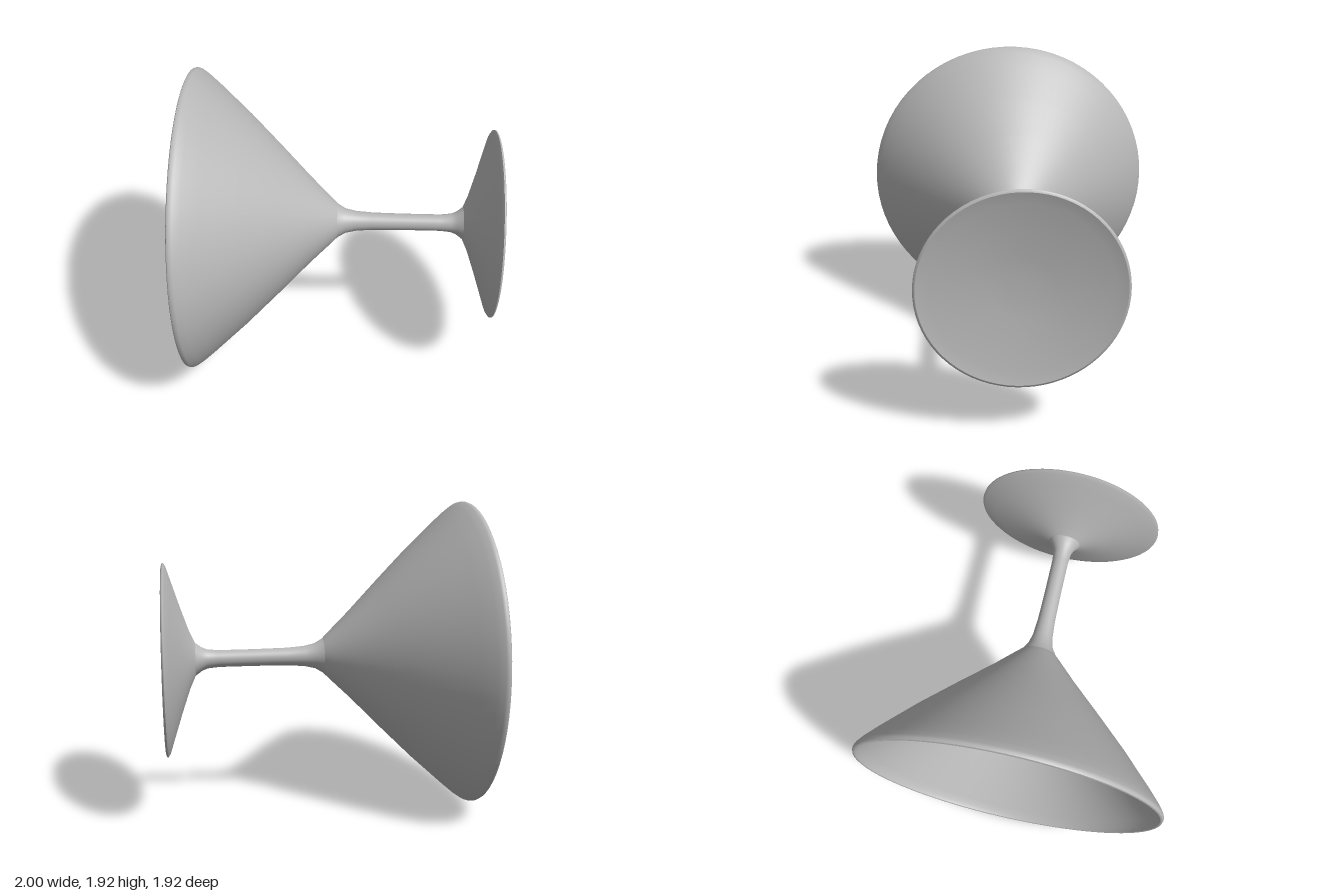
import * as THREE from 'three';

export function createModel() {
  const model = new THREE.Group();
  model.name = 'cocktailGlass';
  const glass = new THREE.MeshStandardMaterial({ color: 0xb8b8b8 });
  glass.name = 'grey glass';

  // Turned parts: [radius, distance along the stem axis]
  const parts = {
    bowlInside: [[0, -0.07], [0.03, -0.08], [0.08, -0.115], [0.15, -0.18], [0.38, -0.4],
      [0.58, -0.59], [0.78, -0.78], [0.895, -0.885], [0.93, -0.92], [0.942, -0.945]],
    bowlLip: [[0.942, -0.945], [0.948, -0.95], [0.958, -0.945]],
    bowlOutside: [[0.958, -0.945], [0.963, -0.932], [0.958, -0.915], [0.93, -0.875], [0.865, -0.8],
      [0.68, -0.6], [0.48, -0.4], [0.275, -0.2], [0.15, -0.07], [0.11, -0.03]],
    stem: [[0.11, -0.03], [0.08, 0.02], [0.064, 0.09], [0.056, 0.2], [0.053, 0.4],
      [0.053, 0.63], [0.06, 0.7], [0.074, 0.735], [0.104, 0.775]],
    footTop: [[0.104, 0.775], [0.18, 0.81], [0.33, 0.862], [0.51, 0.92], [0.585, 0.944], [0.603, 0.956]],
    footEdge: [[0.603, 0.956], [0.602, 0.964], [0.589, 0.969]],
    footUnderside: [[0.589, 0.969], [0.52, 0.95], [0.35, 0.925], [0.19, 0.906], [0.09, 0.9], [0, 0.9]],
  };
  for (const [name, points] of Object.entries(parts)) {
    const profile = points.map(([r, t]) => new THREE.Vector2(r, t));
    const mesh = new THREE.Mesh(new THREE.LatheGeometry(profile, 72), glass);
    mesh.name = name;
    model.add(mesh);
  }

  // Lay the glass on its side, slightly turned
  const turned = new THREE.Group();
  turned.name = 'lyingGlass';
  turned.add(...model.children.slice());
  const axis = new THREE.Vector3(1, -0.005, -0.054).normalize();
  turned.quaternion.setFromUnitVectors(new THREE.Vector3(0, 1, 0), axis);
  turned.position.set(0, 0.96, -0.05);
  model.add(turned);
  return model;
}
